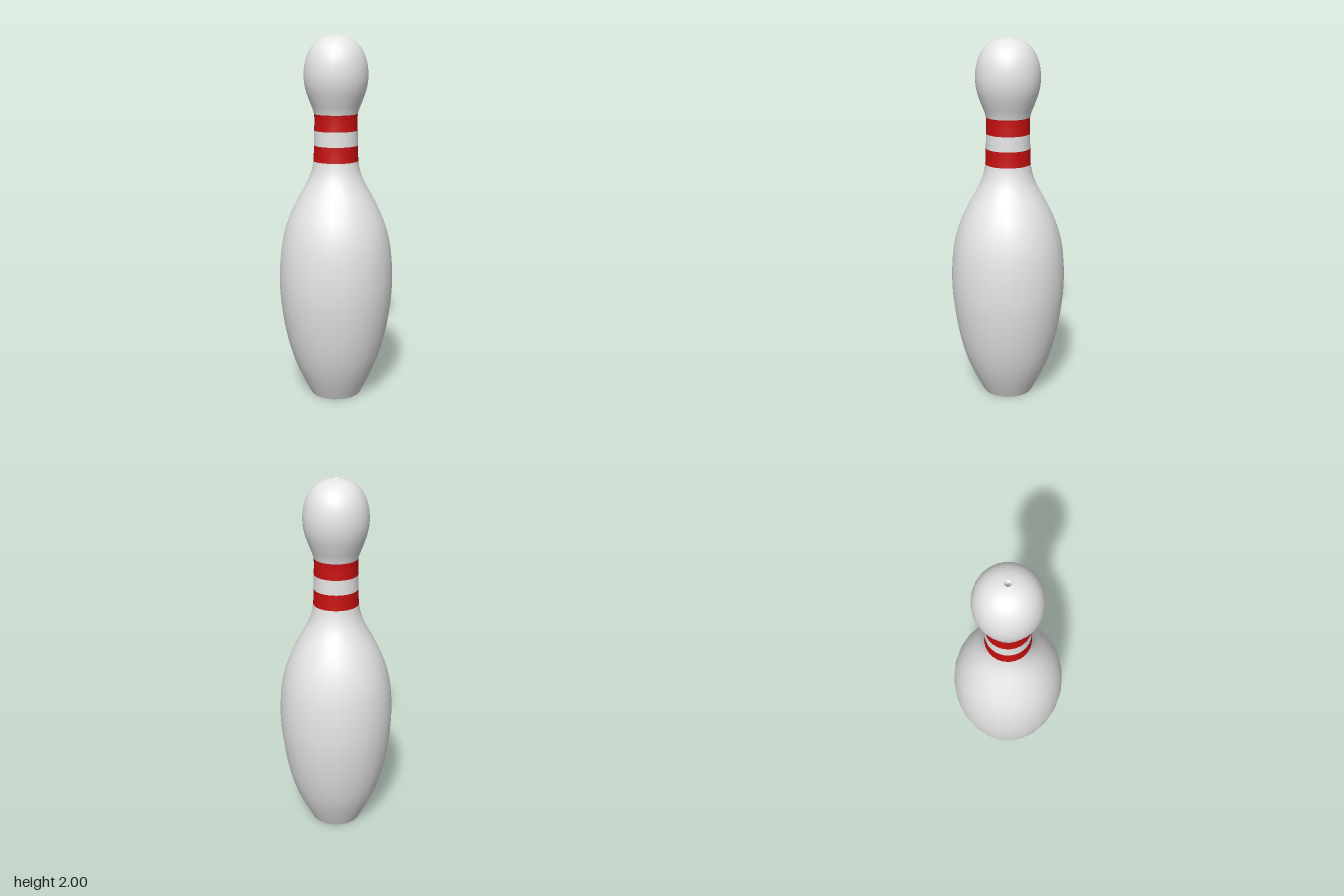
import * as THREE from 'three';

const SIDES = 24;
const TURN = THREE.MathUtils.degToRad(0.9); // slight twist of the facets
const STEPS = 3; // samples between two profile points

// Silhouette from floor to crown: [radius, height]
const PROFILE = [
  [0.143, 0], [0.193, 0.1], [0.235, 0.2], [0.268, 0.31], [0.293, 0.43], [0.309, 0.55],
  [0.315, 0.66], [0.311, 0.78], [0.295, 0.9], [0.263, 1.01], [0.217, 1.11], [0.167, 1.2],
  [0.138, 1.265], [0.123, 1.335], [0.12, 1.42], [0.118, 1.5], [0.118, 1.588],
  [0.142, 1.655], [0.164, 1.72], [0.173, 1.785], [0.167, 1.855], [0.147, 1.915],
  [0.113, 1.96], [0.066, 1.989], [0.018, 2],
];

export function createModel() {
  const white = new THREE.MeshStandardMaterial({ color: 0xe6e6e6 });
  white.name = 'white';
  const red = new THREE.MeshStandardMaterial({ color: 0xc81010 });
  red.name = 'red';

  const group = new THREE.Group();
  group.name = 'bowlingPin';

  const curve = new THREE.SplineCurve(PROFILE.map(([r, y]) => new THREE.Vector2(r, y)));
  const points = curve.getPoints((PROFILE.length - 1) * STEPS);

  function add(name, geometry, material) {
    const mesh = new THREE.Mesh(geometry, material);
    mesh.name = name;
    group.add(mesh);
  }
  const lathe = (pts) => new THREE.LatheGeometry(pts, SIDES, -TURN);

  // Stacked sections, each between two profile points
  const sections = [
    ['body', 0, 13, white],
    ['lowerStripe', 13, 14, red],
    ['neck', 14, 15, white],
    ['upperStripe', 15, 16, red],
    ['head', 16, 24, white],
  ];
  for (const [name, from, to, material] of sections) {
    add(name, lathe(points.slice(from * STEPS, to * STEPS + 1)), material);
  }

  // Small open dimple in the crown
  add('crownDimple', lathe([new THREE.Vector2(0.018, 2), new THREE.Vector2(0.007, 1.985)]), white);

  // Flat underside
  const base = new THREE.CircleGeometry(PROFILE[0][0], SIDES, TURN);
  base.rotateX(Math.PI / 2);
  add('base', base, white);

  return group;
}
